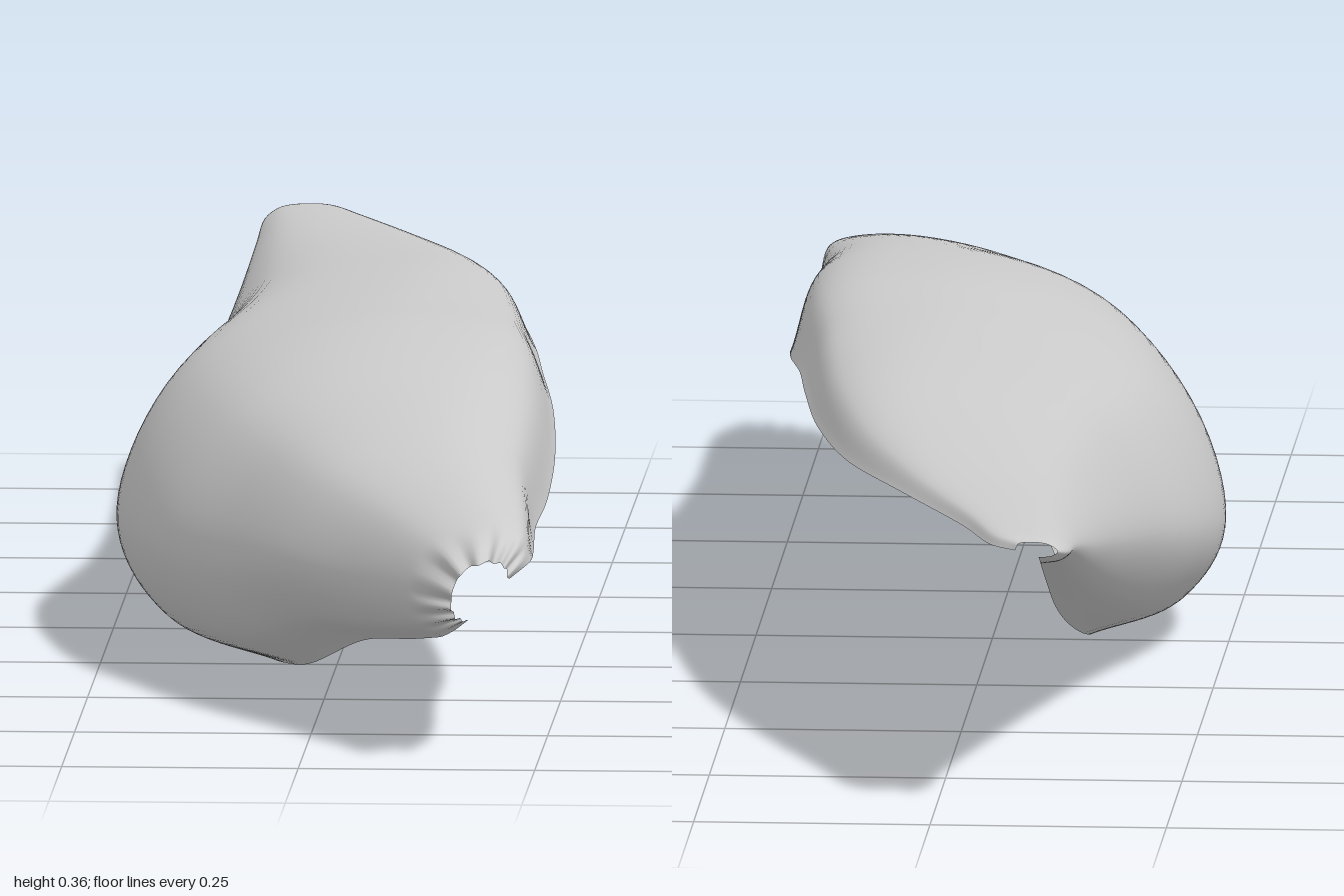
import * as THREE from 'three';

// Stations along the husk: z, left bulge x, upper rim x, crest y, lower rim x, lower rim y, upper rim y
const STATIONS = [
  [-1.00, -0.135, -0.09, 0.308, -0.115, 0.292, 0.299],
  [-0.97, -0.145, -0.06, 0.313, -0.115, 0.280, 0.300],
  [-0.88, -0.148, -0.025, 0.318, -0.11, 0.258, 0.302],
  [-0.70, -0.158, 0.05, 0.325, -0.105, 0.200, 0.300],
  [-0.50, -0.172, 0.12, 0.337, -0.10, 0.138, 0.292],
  [-0.30, -0.196, 0.165, 0.350, -0.10, 0.080, 0.288],
  [-0.12, -0.232, 0.190, 0.355, -0.105, 0.033, 0.287],
  [0.02, -0.246, 0.205, 0.358, -0.105, 0.008, 0.282],
  [0.18, -0.228, 0.225, 0.361, -0.08, 0.003, 0.265],
  [0.35, -0.187, 0.236, 0.350, -0.045, 0.018, 0.240],
  [0.50, -0.120, 0.236, 0.330, -0.01, 0.042, 0.217],
  [0.65, -0.045, 0.232, 0.305, 0.05, 0.088, 0.210],
  [0.80, 0.050, 0.238, 0.275, 0.11, 0.112, 0.208],
  [0.92, 0.120, 0.240, 0.247, 0.153, 0.133, 0.212],
  [1.00, 0.160, 0.222, 0.222, 0.175, 0.150, 0.203],
];

// Open C-shaped cross-section running from lower rim, around the bulge, over the crest to the upper rim
function sectionPoints([z, xMin, xRim, yTop, xLow, yLow, yRim]) {
  const yMid = yLow + 0.38 * (yTop - yLow);
  const xTop = xMin + 0.65 * (xRim - xMin);
  return [
    [xLow, yLow],
    [xLow + 0.7 * (xMin - xLow), yMid + 0.7 * (yLow - yMid)],
    [xMin, yMid],
    [xTop + 0.71 * (xMin - xTop), yMid + 0.71 * (yTop - yMid)],
    [xTop, yTop],
    [xTop + 0.78 * (xRim - xTop), yTop + 0.24 * (yRim - yTop)],
    [xRim, yRim],
  ].map(([x, y]) => new THREE.Vector3(x, y, z));
}

// How far the torn front edge is cut back at position v across the section
function tear(v) {
  const teeth = Math.abs(((v * 9) % 1) - 0.5) * 0.5;
  return Math.min(0.8, teeth + 0.65 * Math.pow(1 - v, 4));
}

function huskGeometry(rows = 120, cols = 64) {
  // Lengthwise guide curves joining matching section points
  const sections = STATIONS.map(sectionPoints);
  const guides = sections[0].map((_, i) =>
    new THREE.CatmullRomCurve3(sections.map((s) => s[i]), false, 'catmullrom', 0.5));

  const positions = [];
  const index = [];
  for (let r = 0; r <= rows; r++) {
    const u = r / rows;
    const section = new THREE.CatmullRomCurve3(guides.map((g) => g.getPoint(u)), false, 'centripetal');
    const centre = section.getPoint(0).lerp(section.getPoint(1), 0.5);
    for (let c = 0; c <= cols; c++) {
      const v = c / cols;
      const p = section.getPoint(v);
      // Faint slanting wrinkles that fade out at rims and tips
      const fade = Math.sin(Math.PI * u) * Math.sin(Math.PI * v);
      const wrinkle = 0.008 * fade * Math.sin(26 * v + 9 * u) * Math.sin(7 * u + 5 * v);
      p.x += (p.x - centre.x) * wrinkle;
      p.y += (p.y - centre.y) * wrinkle;
      if (p.z > 0.9) p.z = 0.9 + (p.z - 0.9) * (1 - tear(v));
      positions.push(p.x, p.y, p.z);
      if (r < rows && c < cols) {
        const a = r * (cols + 1) + c;
        const b = a + cols + 1;
        index.push(a, b, a + 1, b, b + 1, a + 1);
      }
    }
  }
  const geometry = new THREE.BufferGeometry();
  geometry.setAttribute('position', new THREE.Float32BufferAttribute(positions, 3));
  geometry.setIndex(index);
  geometry.computeVertexNormals();
  return geometry;
}

export function createModel() {
  const group = new THREE.Group();
  group.name = 'seedHusk';
  const material = new THREE.MeshStandardMaterial({ color: 0xcccccc, side: THREE.DoubleSide });
  const husk = new THREE.Mesh(huskGeometry(), material);
  husk.name = 'huskShell';
  group.add(husk);
  return group;
}
